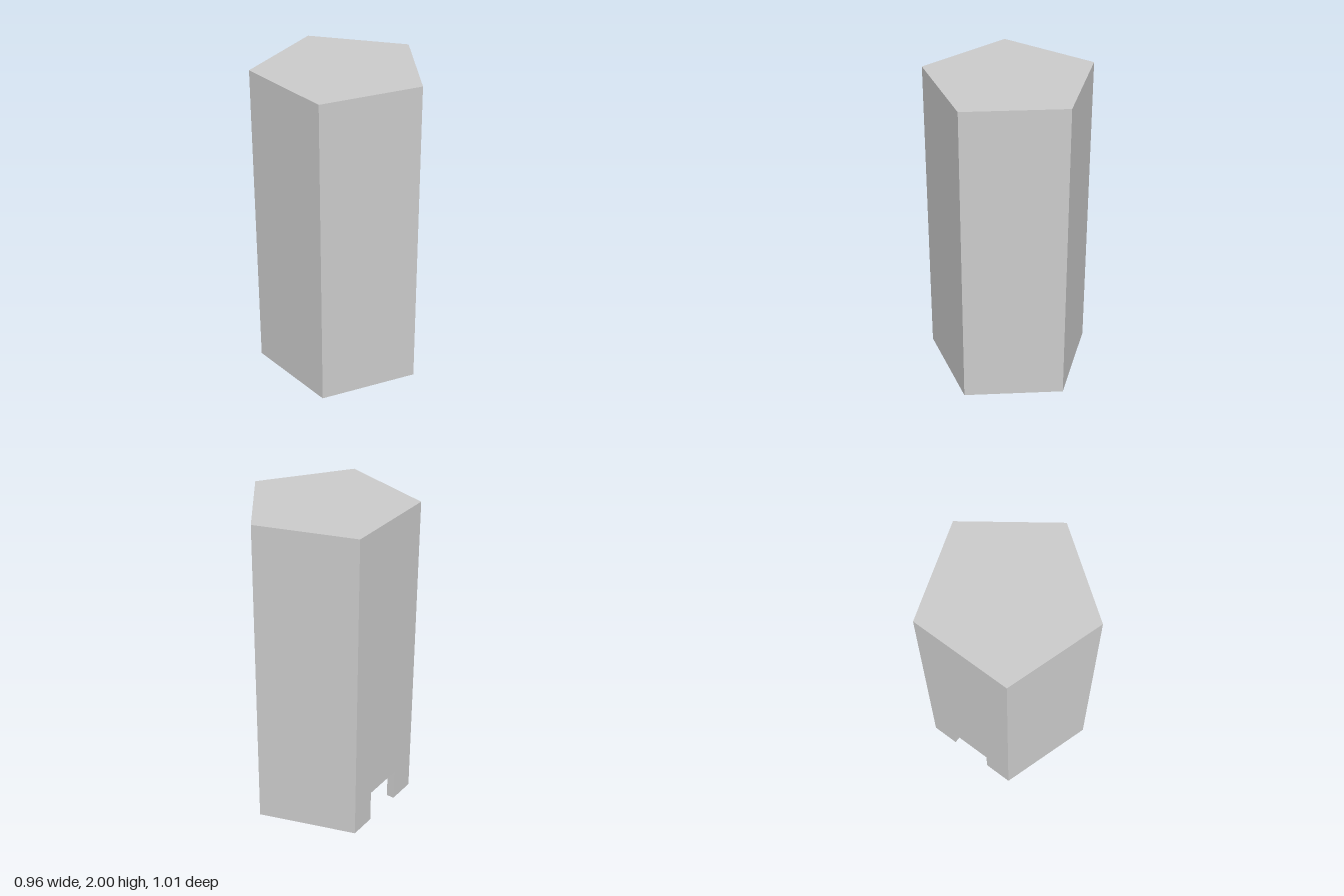
import * as THREE from 'three';
import { mergeGeometries } from 'three/addons/utils/BufferGeometryUtils.js';

const SIDES = 5, HALF = Math.PI / SIDES;
const R_OUT = 0.531, R_IN = 0.469;      // corner radii of the shell
const TOP = 2, CEILING = 1.94;
const DOOR = { z0: -0.14, z1: 0.13, h: 0.205 };
const DOOR_WALL = 2;                    // the wall facing -x
const apothem = (r) => r * Math.cos(HALF);

// One flat wall standing on the ground, optionally notched for the doorway
function wall(radius, height, index) {
  const w = radius * Math.sin(HALF);
  const pts = [[-w, 0]];
  if (index === DOOR_WALL) {
    pts.push([DOOR.z0, 0], [DOOR.z0, DOOR.h], [DOOR.z1, DOOR.h], [DOOR.z1, 0]);
  }
  pts.push([w, 0], [w, height], [-w, height]);
  const shape = new THREE.Shape(pts.map(([x, y]) => new THREE.Vector2(x, y)));
  return new THREE.ShapeGeometry(shape)
    .translate(0, 0, apothem(radius))
    .rotateY(Math.PI / 2 - HALF * (2 * index + 1));
}

function walls(radius, height) {
  const list = [];
  for (let i = 0; i < SIDES; i++) list.push(wall(radius, height, i));
  return mergeGeometries(list);
}

// Inner walls face the middle and are shaded smoothly round the room
function innerWalls() {
  const g = walls(R_IN, CEILING);
  g.index.array.reverse();
  const p = g.attributes.position, n = g.attributes.normal;
  for (let i = 0; i < p.count; i++) {
    const d = Math.hypot(p.getX(i), p.getZ(i));
    n.setXYZ(i, -p.getX(i) / d, 0, -p.getZ(i) / d);
  }
  return g;
}

// Bottom edge of the walls, broken by the doorway
function bottomRim() {
  const corners = (r) => [-2, -1, 0, 1, 2].map((k) =>
    new THREE.Vector2(r * Math.cos(2 * HALF * k), r * Math.sin(2 * HALF * k)));
  const xo = -apothem(R_OUT), xi = -apothem(R_IN);
  const outline = [
    new THREE.Vector2(xo, DOOR.z0), ...corners(R_OUT), new THREE.Vector2(xo, DOOR.z1),
    new THREE.Vector2(xi, DOOR.z1), ...corners(R_IN).reverse(), new THREE.Vector2(xi, DOOR.z0),
  ];
  return new THREE.ShapeGeometry(new THREE.Shape(outline)).rotateX(Math.PI / 2);
}

// Two jambs and the lintel lining the doorway
function doorLining() {
  const t = apothem(R_OUT) - apothem(R_IN);
  const x = -(apothem(R_OUT) + apothem(R_IN)) / 2;
  const { z0, z1, h } = DOOR;
  return mergeGeometries([
    new THREE.PlaneGeometry(t, h).translate(x, h / 2, z0),
    new THREE.PlaneGeometry(t, h).rotateY(Math.PI).translate(x, h / 2, z1),
    new THREE.PlaneGeometry(t, z1 - z0).rotateX(Math.PI / 2).translate(x, h, (z0 + z1) / 2),
  ]);
}

export function createModel() {
  const group = new THREE.Group();
  group.name = 'pentagonalTower';
  const material = new THREE.MeshStandardMaterial({ color: 0xcccccc });
  const add = (name, geometry) => {
    const mesh = new THREE.Mesh(geometry, material);
    mesh.name = name;
    mesh.position.x = apothem(R_OUT) / 2 - R_OUT / 2; // centre the footprint
    group.add(mesh);
  };

  add('outerWalls', walls(R_OUT, TOP));
  add('innerWalls', innerWalls());
  add('roof', new THREE.CircleGeometry(R_OUT, SIDES).rotateX(-Math.PI / 2).translate(0, TOP, 0));
  add('ceiling', new THREE.CircleGeometry(R_IN, SIDES).rotateX(Math.PI / 2).translate(0, CEILING, 0));
  add('bottomRim', bottomRim());
  add('doorLining', doorLining());
  return group;
}
